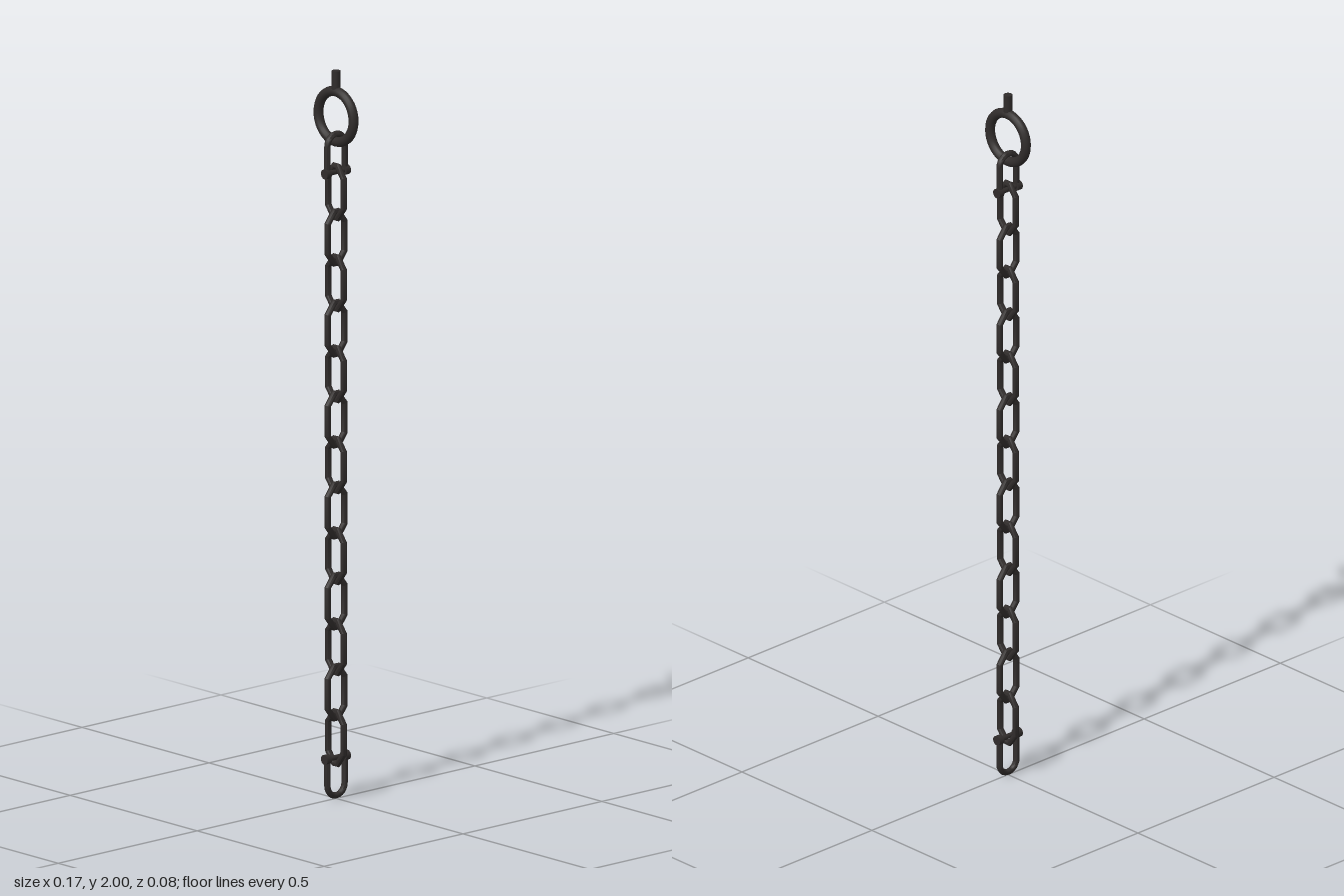
import * as THREE from 'three';
import { toCreasedNormals } from 'three/addons/utils/BufferGeometryUtils.js';

const R = 0.0085; // bar radius

// Round bar swept along flat points in the xy plane, mitred at the corners
function sweep(pts, closed, sides = 8) {
  const n = pts.length, pos = [], idx = [];
  pts.forEach((p, i) => {
    const prev = pts[closed ? (i + n - 1) % n : Math.max(i - 1, 0)];
    const next = pts[closed ? (i + 1) % n : Math.min(i + 1, n - 1)];
    const d1 = p.clone().sub(prev).normalize();
    const d2 = next.clone().sub(p).normalize();
    const t = d1.clone().add(d2).normalize();
    const mitre = 1 / Math.max(t.dot(d2), t.dot(d1));
    for (let j = 0; j < sides; j++) {
      const a = (j / sides) * Math.PI * 2;
      const s = Math.cos(a) * R * mitre;
      pos.push(p.x + t.y * s, p.y - t.x * s, Math.sin(a) * R);
    }
  });
  for (let i = 0; i < (closed ? n : n - 1); i++) {
    for (let j = 0; j < sides; j++) {
      const i2 = (i + 1) % n, j2 = (j + 1) % sides;
      const a = i * sides + j, b = i2 * sides + j, c = i * sides + j2, d = i2 * sides + j2;
      idx.push(a, b, c, b, d, c);
    }
  }
  const g = new THREE.BufferGeometry();
  g.setAttribute('position', new THREE.Float32BufferAttribute(pos, 3));
  g.setIndex(idx);
  return toCreasedNormals(g, 0.85);
}

export function createModel() {
  const model = new THREE.Group();
  model.name = 'hangingChain';
  const iron = new THREE.MeshStandardMaterial({ color: 0x302c2b });
  iron.name = 'dark iron';

  const add = (parent, name, geometry) => {
    const mesh = new THREE.Mesh(geometry, iron);
    mesh.name = name;
    parent.add(mesh);
    return mesh;
  };

  // Hanging ring and the stem above it
  add(model, 'ring', new THREE.TorusGeometry(0.069, 0.0135, 12, 40)).position.y = 1.874;
  add(model, 'stem', new THREE.CylinderGeometry(0.012, 0.012, 0.055, 16)).position.y = 1.9725;

  // Thirteen links, alternately turned a quarter
  const linkPts = [
    [0.03, -0.041], [0.03, 0.041], [0.007, 0.071], [-0.007, 0.071],
    [-0.03, 0.041], [-0.03, -0.041], [-0.007, -0.071], [0.007, -0.071],
  ].map(([x, y]) => new THREE.Vector2(x, y));
  const linkGeometry = sweep(linkPts, true);
  for (let i = 0; i < 13; i++) {
    const link = add(model, 'link' + (i + 1), linkGeometry);
    link.position.y = 1.667 - i * 0.125;
    link.rotation.y = (i % 2) * Math.PI / 2;
  }

  // Shackles: bent bar, two lugs and a cross bolt; origin at the bolt
  const bend = 0.031, reach = 0.1045;
  const barPts = [new THREE.Vector2(bend, 0)];
  for (let i = 0; i <= 12; i++) {
    const a = (i / 12) * Math.PI;
    barPts.push(new THREE.Vector2(Math.cos(a) * bend, reach - bend + Math.sin(a) * bend));
  }
  barPts.push(new THREE.Vector2(-bend, 0));
  const barGeometry = sweep(barPts, false);
  const lugGeometry = new THREE.CylinderGeometry(0.0135, 0.0135, 0.016, 16).rotateX(Math.PI / 2);
  const boltGeometry = new THREE.CylinderGeometry(0.007, 0.007, 0.08, 12).rotateX(Math.PI / 2);

  const shackle = (name, y, flip) => {
    const group = new THREE.Group();
    group.name = name;
    add(group, 'shackleBar', barGeometry).rotation.y = Math.PI / 2;
    for (const side of [-1, 1]) add(group, 'lug', lugGeometry).position.z = side * 0.034;
    add(group, 'bolt', boltGeometry);
    group.position.y = y;
    if (flip) group.rotation.x = Math.PI;
    model.add(group);
  };
  shackle('topShackle', 1.722, false);
  shackle('bottomShackle', 0.113, true);

  return model;
}
